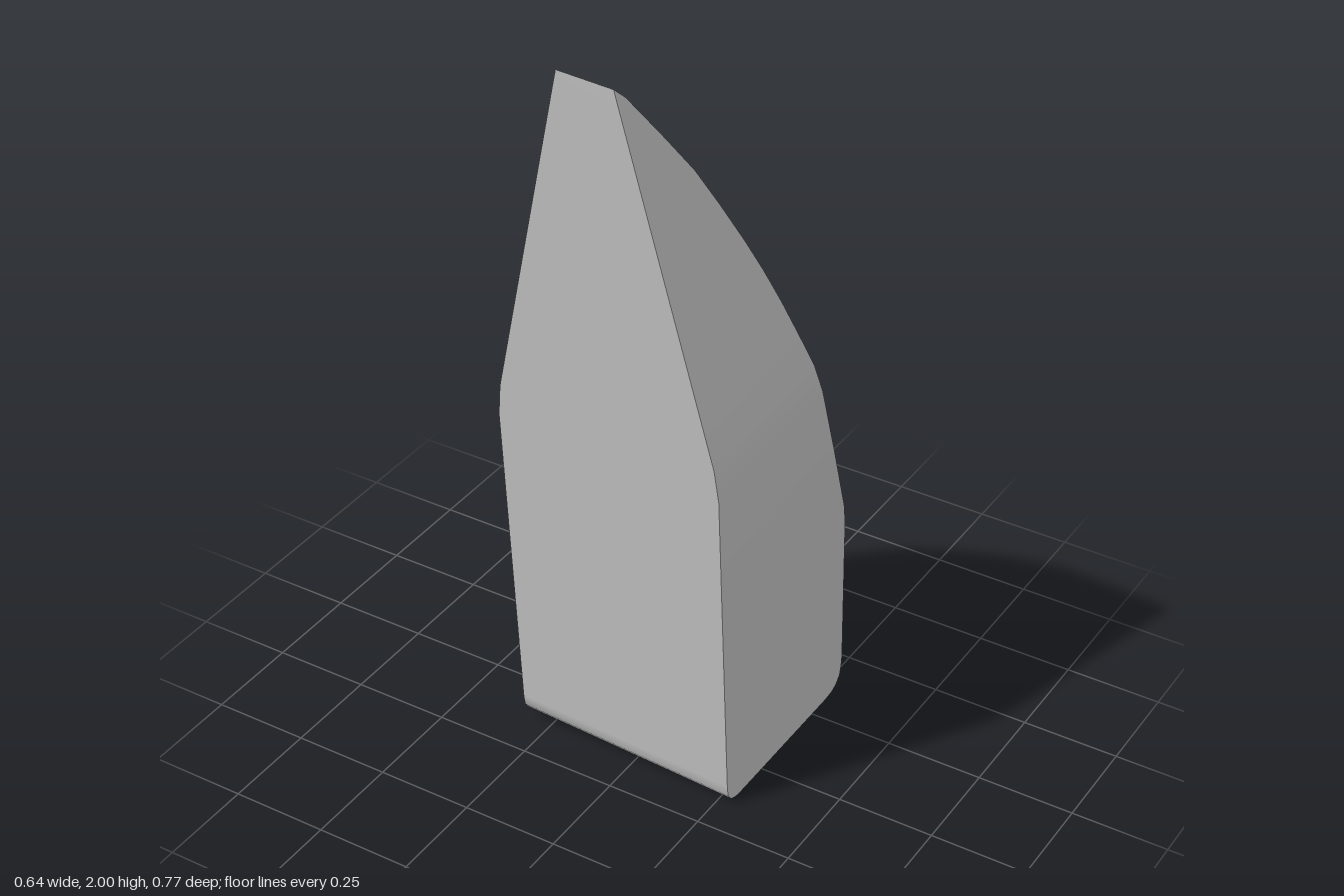
import * as THREE from 'three';

// The block leans and is turned a little: u runs across its width
const place = (u, y, z) => [u - 0.015 + 0.035 * y - 0.02 * z, y - 0.04 * u, z + 0.02 * u];

// Back outline [z, y] from the tip down to the lower corner
const backLine = [
  [0.385, 2.0], [0.352, 1.97], [0.32, 1.93], [0.245, 1.835], [0.165, 1.73], [0.1, 1.625], [0.033, 1.51],
  [-0.017, 1.417], [-0.064, 1.32], [-0.11, 1.215], [-0.15, 1.12], [-0.181, 1.035], [-0.26, 0.82],
  [-0.33, 0.62], [-0.339, 0.575], [-0.344, 0.53], [-0.378, 0.14],
];
// Rounded lower corners [frontZ, frontY, backZ, backY]
const foot = [
  [0.16, 0.068, -0.38, 0.105], [0.154, 0.043, -0.375, 0.065],
  [0.14, 0.025, -0.36, 0.045], [0.122, 0.017, -0.34, 0.034], [0.1, 0.015, -0.31, 0.029],
];

// Cross-sections square to the flat front, tapering above the shoulder
function sections() {
  const rows = backLine.map(([bz, by]) => {
    const t = by + 0.116 * bz;
    const fy = (t - 0.0177) / 1.0135;
    const half = 0.298 - 0.2295 * Math.max(0, t - 1.06);
    return { front: [0.1605 + 0.1166 * (fy - 0.07), fy], back: [bz, by], half };
  });
  rows[0].front = rows[0].back;
  foot.forEach(([fz, fy, bz, by]) => rows.push({ front: [fz, fy], back: [bz, by], half: 0.298 }));
  return rows;
}

// Smooth strip between two edge lines
function strip(a, b) {
  const position = [], index = [];
  a.forEach((p, i) => {
    position.push(...p, ...b[i]);
    if (i) {
      const k = 2 * i;
      index.push(k - 2, k, k + 1, k - 2, k + 1, k - 1);
    }
  });
  const geometry = new THREE.BufferGeometry();
  geometry.setAttribute('position', new THREE.Float32BufferAttribute(position, 3));
  geometry.setIndex(index);
  geometry.computeVertexNormals();
  return geometry;
}

export function createModel() {
  const group = new THREE.Group();
  group.name = 'taperedBlock';
  const grey = new THREE.MeshStandardMaterial({ color: 0xc4c4c4 });
  grey.name = 'light grey';

  const rows = sections();
  const edge = (face, side) => rows.map((r) => place(side * r.half, r[face][1], r[face][0]));
  const loop = (side) => [...edge('front', side), ...edge('back', side).reverse()];

  const add = (name, a, b) => {
    const mesh = new THREE.Mesh(strip(a, b), grey);
    mesh.name = name;
    group.add(mesh);
  };
  // Front, base and back in one band, then the two sides
  add('frontBaseAndBack', loop(-1), loop(1));
  add('leftSide', edge('front', 1), edge('back', 1));
  add('rightSide', edge('back', -1), edge('front', -1));
  return group;
}
